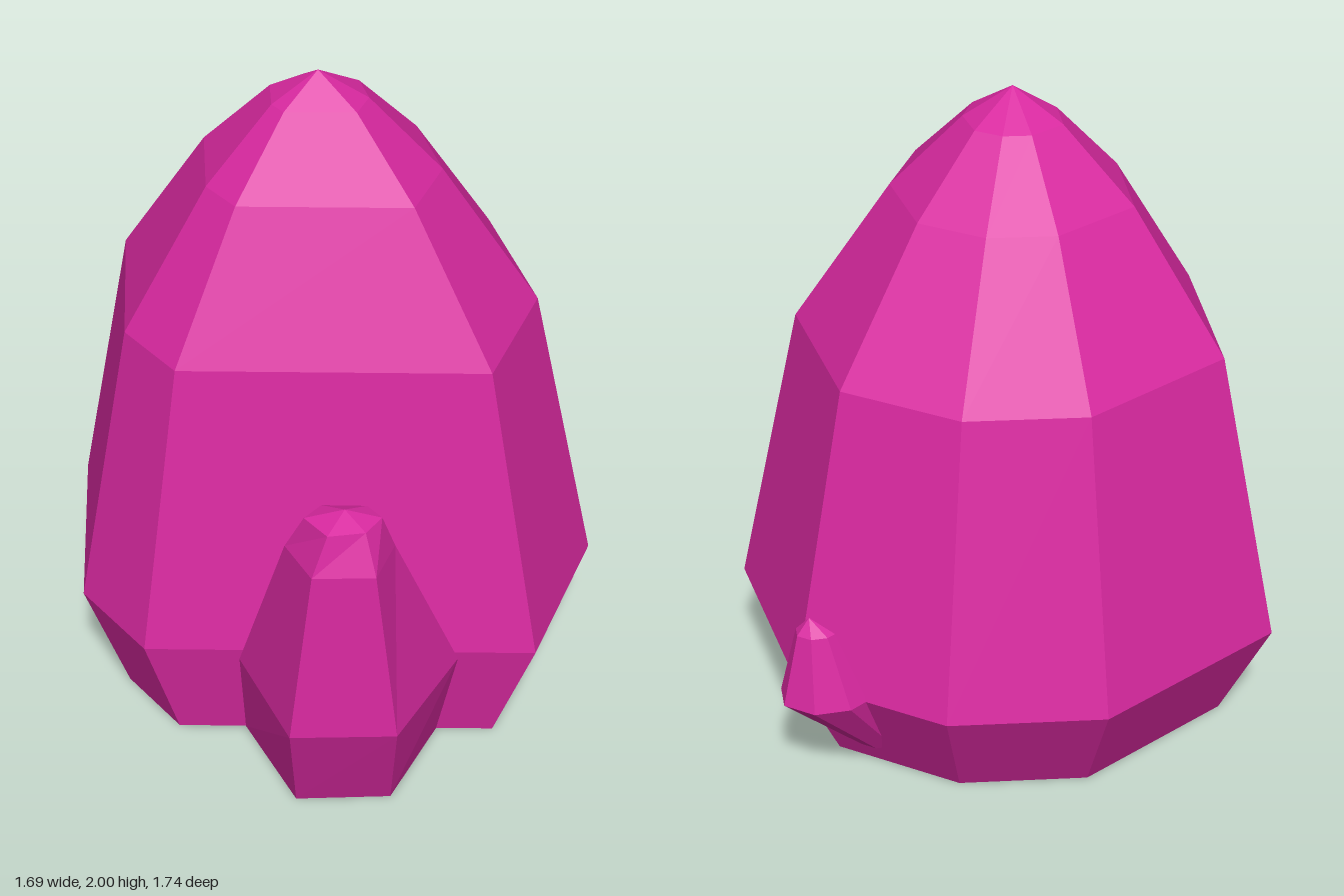
import * as THREE from 'three';

const material = new THREE.MeshStandardMaterial({ color: 0xd929a0, flatShading: true, roughness: 0.7 });

// Facets through stacked rings of [x, y, z] corners; the ends may collapse to a point.
function crystal(name, rings) {
  const pos = [];
  const tri = (a, b, c) => {
    const va = new THREE.Vector3(...a), vb = new THREE.Vector3(...b), vc = new THREE.Vector3(...c);
    if (vb.sub(va).cross(vc.sub(va)).length() > 1e-6) pos.push(...a, ...b, ...c);
  };
  for (let i = 0; i < rings.length - 1; i++) {
    const lo = rings[i], up = rings[i + 1], n = lo.length;
    for (let j = 0; j < n; j++) {
      const k = (j + 1) % n;
      tri(lo[j], up[j], lo[k]);
      tri(lo[k], up[j], up[k]);
    }
  }
  const geometry = new THREE.BufferGeometry();
  geometry.setAttribute('position', new THREE.Float32BufferAttribute(pos, 3));
  geometry.computeVertexNormals();
  const mesh = new THREE.Mesh(geometry, material);
  mesh.name = name;
  return mesh;
}

// An outline scaled and shifted to height y
const ring = (outline, y, scale = 1, dx = 0, dz = 0) =>
  outline.map(([x, z]) => [x * scale + dx, y, z * scale + dz]);

export function createModel() {
  const group = new THREE.Group();
  group.name = 'crystalCluster';

  // Main eight-sided crystal, leaning slightly towards its tip
  const main = [[-0.11, -0.77], [0.48, -0.53], [0.79, -0.05], [0.07, 0.87],
    [-0.27, 0.87], [-0.85, 0.49], [-0.85, -0.19], [-0.57, -0.57]];
  group.add(crystal('mainCrystal', [
    ring(main, 0, 0, 0, 0.08),
    ring(main, 0, 0.823, 0.015, 0.044),
    ring(main, 0.35),
    ring(main, 1.26, 0.773, -0.01, 0.03),
    ring(main, 1.69, 0.433, -0.03, 0.073),
    ring(main, 1.91, 0.177, -0.05, 0.096),
    ring(main, 2, 0, -0.05, 0.12),
  ]));

  // Side crystal: its inner corners merge where it grows from the main one
  const foot = [[0.56, 0.14], [0.56, 0.14], [0.72, 0.44], [0.56, 0.67], [0.2, 0.6], [0.2, 0.6]];
  const girdle = [[0.67, 0.15], [0.67, 0.15], [0.84, 0.51], [0.66, 0.76], [0.28, 0.67], [0.28, 0.67]];
  const shoulder = [[0.64, 0.4], [0.695, 0.41], [0.785, 0.545], [0.68, 0.69], [0.51, 0.66], [0.49, 0.6]];
  const crown = [[0.63, 0.46], [0.7, 0.46], [0.73, 0.54], [0.68, 0.635], [0.57, 0.635], [0.55, 0.56]];
  group.add(crystal('sideCrystal', [
    ring(foot, 0, 0, 0.5, 0.4),
    ring(foot, 0),
    ring(girdle, 0.35),
    ring(shoulder, 0.9),
    ring(crown, 1.02),
    ring(crown, 1.05, 0, 0.64, 0.545),
  ]));

  // Little sprout on the back, tapering into the main crystal
  const bud = [[-0.33, -0.735], [-0.28, -0.83], [-0.185, -0.87], [-0.11, -0.825], [-0.11, -0.72], [-0.325, -0.67]];
  group.add(crystal('backSprout', [
    ring(bud, 0.08, 0, -0.2, -0.56),
    ring(bud, 0.08, 0.5, -0.1, -0.16),
    ring(bud, 0.35),
    ring(bud, 0.58, 0.45, -0.11, -0.428),
    ring(bud, 0.63, 0, -0.2, -0.78),
  ]));
  return group;
}
